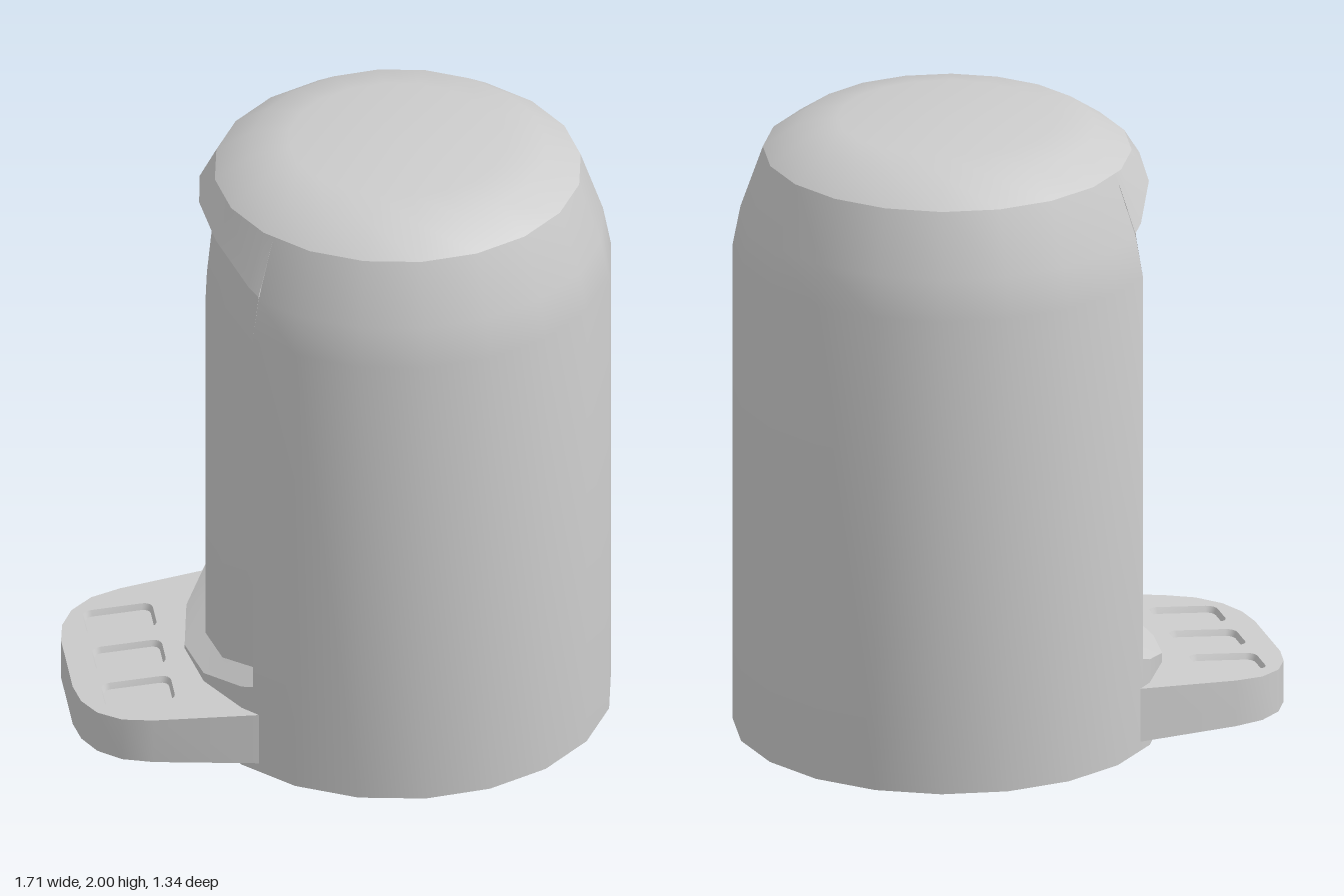
import * as THREE from 'three';
import { mergeGeometries, toCreasedNormals } from 'three/addons/utils/BufferGeometryUtils.js';

const CX = 0.185, RAD = Math.PI / 180, EDGE = 39.8;
const material = new THREE.MeshStandardMaterial({ color: 0xcccccc, side: THREE.DoubleSide });

// Surface through rows of points, rows running upward
function grid(rows) {
  const n = rows[0].length, index = [];
  for (let j = 0; j < rows.length - 1; j++) {
    for (let i = 0; i < n - 1; i++) {
      const a = j * n + i, b = a + n;
      index.push(a, a + 1, b, a + 1, b + 1, b);
    }
  }
  const g = new THREE.BufferGeometry();
  g.setAttribute('position', new THREE.Float32BufferAttribute(rows.flat(2), 3));
  g.setIndex(index);
  return g.toNonIndexed();
}

// Point on the 20-sided body; the angle is measured from -x towards +z
function polar(deg, [r, y]) {
  const side = ((deg % 18) + 18) % 18;
  const k = r * Math.cos(9 * RAD) / Math.cos((side - 9) * RAD);
  return [CX - k * Math.cos(deg * RAD), y, k * Math.sin(deg * RAD)];
}
const sweep = (angles, rows) => grid(rows.map(row => angles.map(a => polar(a, row(a)))));

function addMesh(group, name, parts, crease = 30) {
  const mesh = new THREE.Mesh(toCreasedNormals(mergeGeometries(parts), crease * RAD), material);
  mesh.name = name;
  group.add(mesh);
}

// Rounded rectangle outline as [x, z] points
function roundedRect(x0, x1, z0, z1, r) {
  const pts = [];
  const corners = [[x1 - r, z1 - r], [x0 + r, z1 - r], [x0 + r, z0 + r], [x1 - r, z0 + r]];
  corners.forEach(([cx, cz], q) => {
    for (let i = 0; i <= 4; i++) {
      const a = (q + i / 4) * Math.PI / 2;
      pts.push([cx + r * Math.cos(a), cz + r * Math.sin(a)]);
    }
  });
  return pts;
}
const toVectors = pts => pts.map(([x, z]) => new THREE.Vector2(x, -z));

// Flat shape laid down and lifted onto the sloping top of the tray
const trayTop = x => 0.17 + (x + 0.855) * 0.075;
function slopedFace(outline, holes, drop) {
  const shape = new THREE.Shape(toVectors(outline));
  shape.holes = holes.map(h => new THREE.Path(toVectors(h)));
  const g = new THREE.ShapeGeometry(shape).rotateX(-Math.PI / 2).toNonIndexed();
  const p = g.attributes.position;
  for (let i = 0; i < p.count; i++) p.setY(i, trayTop(p.getX(i)) - drop);
  g.deleteAttribute('uv');
  g.deleteAttribute('normal');
  return g;
}

export function createModel() {
  const model = new THREE.Group();
  model.name = 'canister';

  const full = Array.from({ length: 21 }, (_, i) => i * 18);
  const front = [-EDGE, -36, -18, 0, 18, 36, EDGE];
  const rest = [EDGE, ...full.filter(a => a > EDGE && a < 360 - EDGE), 360 - EDGE];
  const fixed = list => list.map(p => () => p);

  // Cut edges of the recess rise and fall with the curve of the body
  const bend = a => (1 - Math.cos(a * RAD)) / (1 - Math.cos(EDGE * RAD));
  const yBot = a => 0.21 + 0.09 * bend(a);
  const yTop = a => 1.82 - 0.11 * bend(a);
  const lipRadius = a => 0.575 + (1.9 - yTop(a)) * 0.365 + 0.02 * (1 - bend(a));
  const panel = [
    a => [0.605, yBot(a) + 0.04],
    () => [0.605, 1.45],
    a => [0.575, yTop(a) - 0.045],
  ];

  // Body shell, with the recessed panel, sill and overhanging lip on the -x side
  const body = [
    sweep(rest, fixed([[0.67, 0], [0.67, 1.57], [0.645, 1.7], [0.575, 1.9]])),
    sweep(front, [
      () => [0.67, 0],
      a => [0.67, yBot(a)],
      ...panel,
      a => [lipRadius(a), yTop(a)],
      () => [0.575, 1.9],
    ]),
  ];
  // Side walls of the recess
  const outer = [[0.67, 0.3], [0.67, 1.57], [0.644, 1.71]];
  for (const s of [-1, 1]) {
    body.push(grid(outer.map((o, i) => {
      const pair = [polar(s * EDGE, panel[i](EDGE)), polar(s * EDGE, o)];
      return s > 0 ? pair : pair.reverse();
    })));
  }
  addMesh(model, 'body', body);

  // Domed lid
  addMesh(model, 'lid', [sweep(full, fixed([[0.575, 1.9], [0.465, 1.975], [0.34, 2], [0, 2]]))]);

  // Tapered collar inside the open base
  addMesh(model, 'baseCollar', [sweep(full, fixed([[0.56, 0.14], [0.67, 0]]))]);

  // Tray outline: outer edge, then back along the body
  const half = [[-0.31, 0.45], [-0.635, 0.4], [-0.73, 0.37], [-0.8, 0.31], [-0.84, 0.23], [-0.855, 0.14]];
  const mirror = pts => pts.map(([x, z]) => [x, -z]).reverse();
  const rim = [...mirror(half), ...half];
  rim.sort((p, q) => Math.atan2(p[1], -0.3 - p[0]) - Math.atan2(q[1], -0.3 - q[0]));
  const contact = [36, 18, 0, -18, -36].map(a => {
    const [x, , z] = polar(a, [0.67, 0]);
    return [x, z];
  });

  // Three shallow rounded pockets in the tray top
  const pockets = [-0.222, 0, 0.218].map(z => ({
    rim: roundedRect(-0.77, -0.55, z - 0.073, z + 0.073, 0.03),
    floor: roundedRect(-0.763, -0.557, z - 0.066, z + 0.066, 0.026),
  }));
  addMesh(model, 'tray', [
    slopedFace([...rim, ...contact], pockets.map(p => p.rim), 0),
    grid([rim.map(([x, z]) => [x, 0.035, z]), rim.map(([x, z]) => [x, trayTop(x), z])]),
  ], 35);

  pockets.forEach(({ rim: top, floor }, i) => {
    const loop = (pts, drop) => [...pts, pts[0]].map(([x, z]) => [x, trayTop(x) - drop, z]);
    addMesh(model, `trayPocket${i + 1}`, [
      grid([loop(top, 0), loop(floor, 0.02)]),
      slopedFace(floor, [], 0.02),
    ], 35);
  });

  return model;
}
